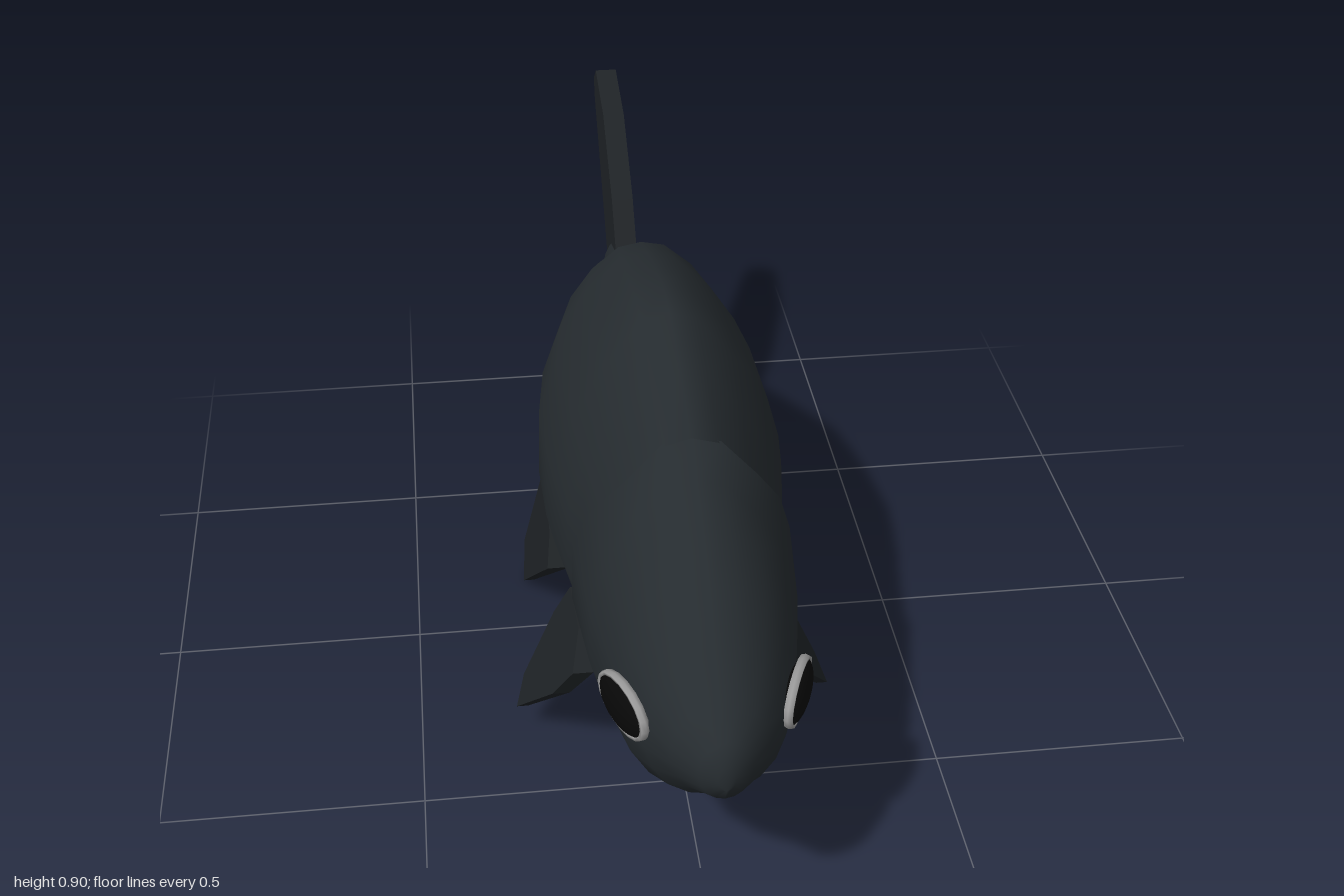
import * as THREE from 'three';

const mat = (color) => new THREE.MeshStandardMaterial({ color });

// Half outline of the body section, keel to crown: [width 0..1, height 0..1]
const HALF = [[0, 0], [0.4, 0.01], [0.7, 0.035], [0.87, 0.13], [1, 0.28], [0.98, 0.5], [0.81, 0.69], [0.55, 0.85], [0.23, 0.98], [0, 1]];

// Stations nose to tail: [z, top, bottom, half width, roundness, gill sweep]
const STATIONS = [
  [1.0, 0.51, 0.46, 0.015, 1, 0],
  [0.985, 0.55, 0.43, 0.045, 1, 0],
  [0.935, 0.585, 0.395, 0.085, 0.9, 0],
  [0.87, 0.635, 0.33, 0.12, 0.8, 0],
  [0.78, 0.7, 0.265, 0.152, 0.7, 0],
  [0.68, 0.755, 0.245, 0.173, 0.5, 0],
  [0.6, 0.79, 0.23, 0.187, 0.35, 0],
  [0.42, 0.838, 0.242, 0.203, 0.2, 0.12],
  [0.425, 0.838, 0.245, 0.185, 0.2, 0.12],
  [0.34, 0.87, 0.23, 0.204, 0.1, 0.03],
  [0.24, 0.903, 0.22, 0.22, 0, 0],
  [0.15, 0.908, 0.217, 0.23, 0, 0],
  [0, 0.87, 0.235, 0.234, 0, 0],
  [-0.12, 0.832, 0.3, 0.217, 0.1, 0],
  [-0.22, 0.803, 0.4, 0.175, 0.3, 0],
  [-0.31, 0.75, 0.435, 0.133, 0.6, 0],
  [-0.42, 0.685, 0.452, 0.095, 0.8, 0],
  [-0.53, 0.625, 0.435, 0.055, 1, 0],
  [-0.62, 0.6, 0.445, 0.042, 1, 0],
  [-0.7, 0.53, 0.49, 0.024, 1, 0],
];

function bodyGeometry() {
  const ring = [...HALF, ...HALF.slice(1, -1).reverse().map(([w, h]) => [-w, h])];
  const n = ring.length, pos = [], index = [];
  for (const [z, top, bottom, width, round, sweep] of STATIONS) {
    ring.forEach(([w, h], j) => {
      const a = (j / n) * Math.PI * 2;
      const x = THREE.MathUtils.lerp(w, Math.sin(a), round) * width;
      const t = THREE.MathUtils.lerp(h, 0.5 - 0.5 * Math.cos(a), round);
      // gill cover edge bows backwards at mid height
      const dz = sweep * Math.min(1, ((t - 0.42) / 0.38) ** 2);
      pos.push(x, bottom + t * (top - bottom), z + dz);
    });
  }
  for (let i = 0; i < STATIONS.length - 1; i++) {
    for (let j = 0; j < n; j++) {
      const a = i * n + j, b = i * n + (j + 1) % n;
      index.push(a, a + n, b, b, a + n, b + n);
    }
  }
  // end caps
  const last = (STATIONS.length - 1) * n;
  for (let j = 1; j < n - 1; j++) index.push(0, j, j + 1, last, last + j + 1, last + j);
  const g = new THREE.BufferGeometry();
  g.setAttribute('position', new THREE.Float32BufferAttribute(pos, 3));
  g.setIndex(index);
  g.computeVertexNormals();
  return g;
}

// Fin slab from a [z, y] outline; place(y) gives [centre x, half thickness]
function finGeometry(outline, side, place) {
  const shape = new THREE.Shape(outline.map(([z, y]) => new THREE.Vector2(-z, y)));
  const g = new THREE.ExtrudeGeometry(shape, { depth: 2, bevelEnabled: false });
  g.translate(0, 0, -1).rotateY(Math.PI / 2);
  const p = g.attributes.position;
  for (let i = 0; i < p.count; i++) {
    const [centre, half] = place(p.getY(i));
    p.setX(i, side * centre + p.getX(i) * half);
  }
  g.computeVertexNormals();
  return g;
}

// Linear slope between root and tip: [y, centre x, half thickness]
const splay = (root, tip) => (y) => {
  const k = (y - root[0]) / (tip[0] - root[0]);
  return [1, 2].map((i) => THREE.MathUtils.lerp(root[i], tip[i], k));
};

const PAIRED = {
  pectoralFin: [[[0.5, 0.3], [0.46, 0.22], [0.33, 0.08], [0.28, 0.12], [0.265, 0.26], [0.28, 0.33], [0.42, 0.34]],
    splay([0.31, 0.185, 0.02], [0.08, 0.3, 0.011])],
  pelvicFin: [[[0.14, 0.27], [-0.16, 0.01], [-0.235, 0.065], [-0.12, 0.31], [-0.02, 0.34], [0.1, 0.33]],
    splay([0.31, 0.2, 0.025], [0.01, 0.258, 0.011])],
  analFin: [[[-0.2, 0.4], [-0.435, 0.24], [-0.47, 0.28], [-0.468, 0.36], [-0.4, 0.47], [-0.25, 0.47]],
    splay([0.46, 0.025, 0.018], [0.24, 0.055, 0.01])],
};

const TAIL = [[-0.5, 0.6], [-0.52, 0.63], [-0.59, 0.71], [-0.77, 0.83], [-0.945, 0.862], [-1, 0.82], [-0.985, 0.78], [-0.72, 0.51],
  [-0.965, 0.295], [-0.968, 0.215], [-0.91, 0.15], [-0.775, 0.185], [-0.59, 0.325], [-0.52, 0.43], [-0.5, 0.47]];

export function createModel() {
  const model = new THREE.Group();
  const skin = mat(0x262c30), finSkin = mat(0x1f2326), black = mat(0x080808), rim = mat(0x999999);
  const add = (name, geometry, material, parent = model) => {
    const mesh = new THREE.Mesh(geometry, material);
    mesh.name = name;
    parent.add(mesh);
    return mesh;
  };

  add('body', bodyGeometry(), skin);
  add('tailFin', finGeometry(TAIL, 1, () => [0, 0.023]), finSkin);

  for (const side of [1, -1]) {
    const prefix = side > 0 ? 'left' : 'right';
    for (const [name, [outline, place]] of Object.entries(PAIRED)) {
      add(prefix + name[0].toUpperCase() + name.slice(1), finGeometry(outline, side, place), finSkin);
    }
    // eye: flattened ball inside a pale rim, turned slightly forwards
    const eye = new THREE.Group();
    eye.name = prefix + 'Eye';
    eye.position.set(side * 0.147, 0.496, 0.815);
    eye.rotation.y = side * (Math.PI / 2 - 0.4);
    const ball = add('pupil', new THREE.SphereGeometry(1, 16, 10), black, eye);
    ball.scale.set(0.073, 0.046, 0.022);
    const ring = add('eyeRim', new THREE.TorusGeometry(1, 0.09, 6, 16), rim, eye);
    ring.scale.set(0.073, 0.047, 0.1);
    model.add(eye);
  }
  return model;
}
